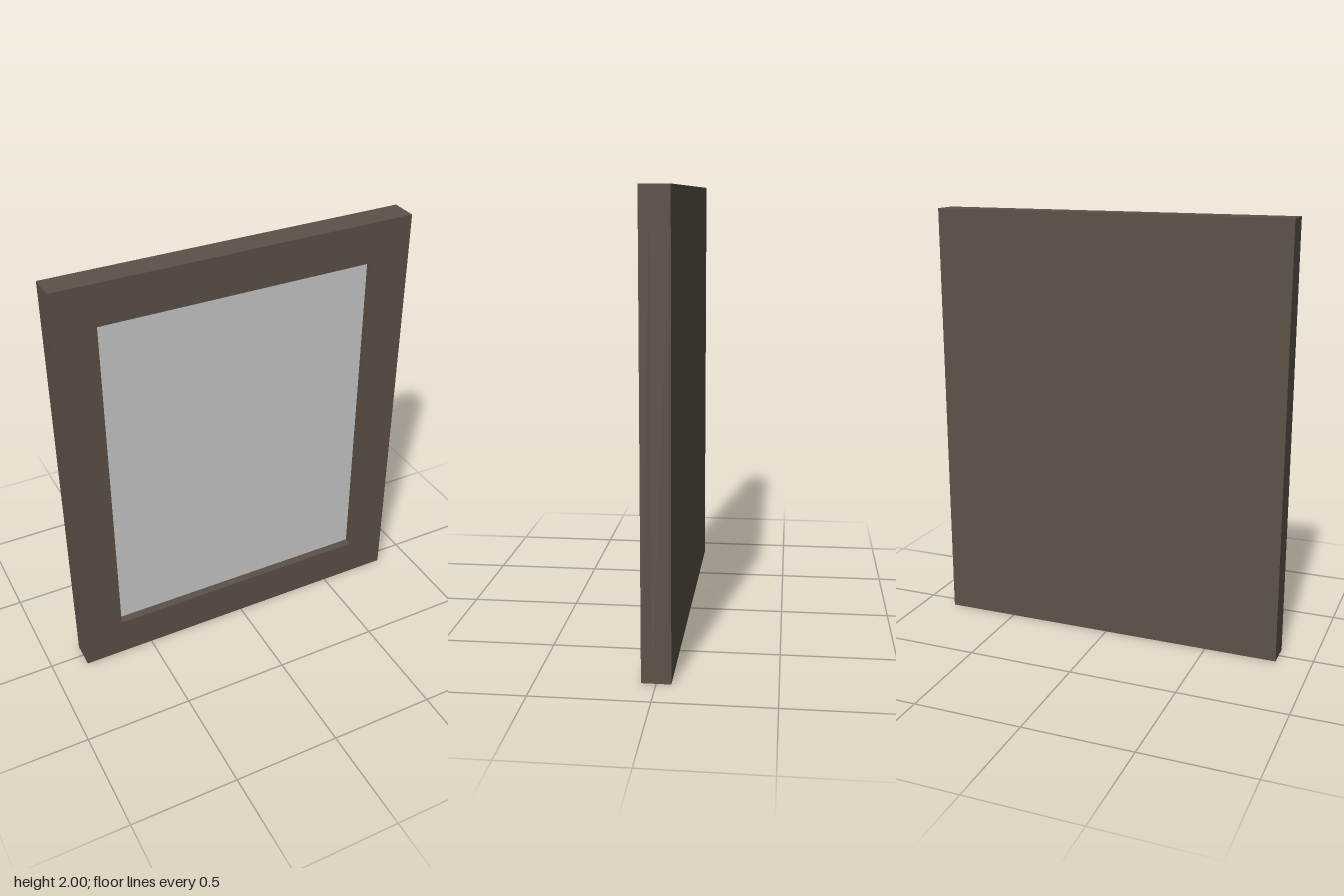
import * as THREE from 'three';

const W = 1.675, H = 2, D = 0.125;   // outer size
const BORDER = 0.19;                 // width of the frame border
const SEAT = 0.017;                  // z where the front border meets the backing
const PANE = 0.006;                  // thickness of the pane

function rectangle(PathType, w, h) {
  const p = new PathType();
  p.moveTo(-w / 2, -h / 2);
  p.lineTo(w / 2, -h / 2);
  p.lineTo(w / 2, h / 2);
  p.lineTo(-w / 2, h / 2);
  p.closePath();
  return p;
}

export function createModel() {
  const wood = new THREE.MeshStandardMaterial({ color: 0x5c5147 });
  wood.name = 'dark brown wood';
  const paleGrey = new THREE.MeshStandardMaterial({ color: 0xc9c9c9 });
  paleGrey.name = 'pale grey';

  const group = new THREE.Group();
  group.name = 'pictureFrame';
  const add = (name, geometry, material, z) => {
    const mesh = new THREE.Mesh(geometry, material);
    mesh.name = name;
    mesh.position.set(0, H / 2, z);
    group.add(mesh);
  };

  const openW = W - 2 * BORDER, openH = H - 2 * BORDER;

  // Front border with its rectangular opening
  const outline = rectangle(THREE.Shape, W, H);
  outline.holes.push(rectangle(THREE.Path, openW, openH));
  const border = new THREE.ExtrudeGeometry(outline, { depth: D / 2 - SEAT, bevelEnabled: false });
  add('frameBorder', border, wood, SEAT);

  // Solid backing
  const backDepth = SEAT + D / 2;
  add('backing', new THREE.BoxGeometry(W, H, backDepth), wood, SEAT - backDepth / 2);

  // Recessed pane
  add('pane', new THREE.BoxGeometry(openW, openH, PANE), paleGrey, SEAT + PANE / 2);

  return group;
}
